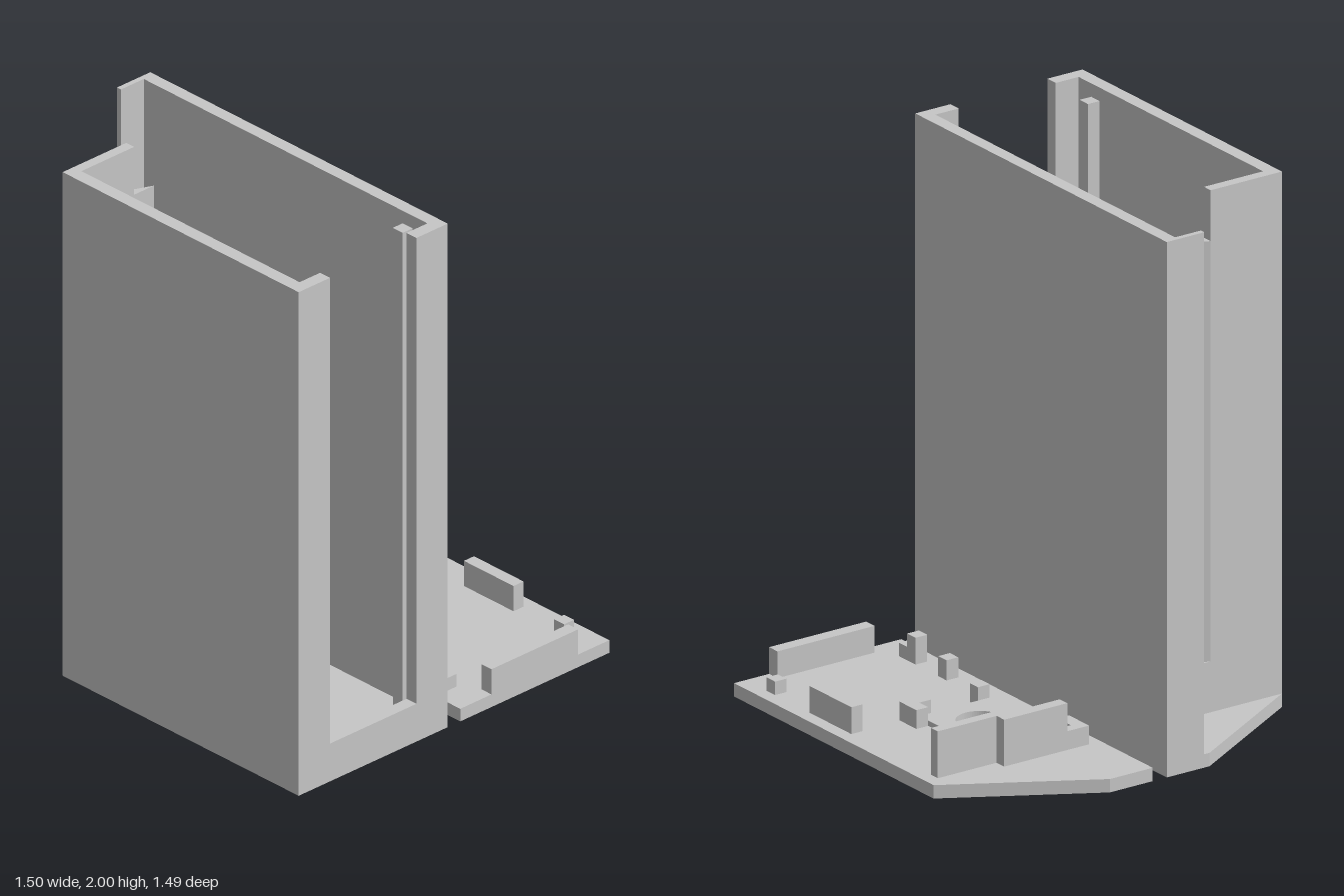
import * as THREE from 'three';

export function createModel() {
  const model = new THREE.Group();
  const grey = new THREE.MeshStandardMaterial({ color: 0xc6c6c6 });
  grey.name = 'light grey';

  // Upright prism from an outline of [x, z] points, between heights y0 and y1
  function prism(group, name, points, y0, y1, holes = []) {
    const shape = new THREE.Shape(points.map(([x, z]) => new THREE.Vector2(x, -z)));
    shape.holes.push(...holes);
    const geometry = new THREE.ExtrudeGeometry(shape, { depth: y1 - y0, bevelEnabled: false, curveSegments: 32 });
    geometry.rotateX(-Math.PI / 2).translate(0, y0, 0);
    const mesh = new THREE.Mesh(geometry, grey);
    mesh.name = name;
    group.add(mesh);
  }
  function block(group, name, x0, x1, z0, z1, y1, y0 = 0.05) {
    const mesh = new THREE.Mesh(new THREE.BoxGeometry(x1 - x0, y1 - y0, z1 - z0), grey);
    mesh.position.set((x0 + x1) / 2, (y0 + y1) / 2, (z0 + z1) / 2);
    mesh.name = name;
    group.add(mesh);
  }
  // Five-sided floor outline; side = 1 for the case, -1 for the lid
  const outline = (side) => [[-0.75, 0.03], [0.75, 0.03], [0.75, 0.745], [-0.44, 0.745], [-0.75, 0.213]]
    .map(([x, z]) => [x, z * side]);

  // Tall case
  const body = new THREE.Group();
  body.name = 'case';
  model.add(body);
  prism(body, 'caseFloor', outline(1), 0, 0.05);
  // Back wall with a lip at one end and a return at the other
  prism(body, 'backWall', [[-0.75, 0.03], [0.75, 0.03], [0.75, 0.18], [0.7, 0.18], [0.7, 0.08],
    [-0.73, 0.08], [-0.73, 0.19], [-0.75, 0.19]], 0.05, 2);
  // Front wall with both returns
  prism(body, 'frontWall', [[-0.44, 0.745], [-0.44, 0.44], [-0.4, 0.44], [-0.4, 0.693], [0.7, 0.693],
    [0.7, 0.595], [0.75, 0.595], [0.75, 0.745]], 0.05, 2);
  prism(body, 'slantedWallEdge', [[-0.44, 0.44], [-0.4, 0.44], [-0.4, 0.345]], 0.05, 1.81);
  block(body, 'slotSill', 0.7, 0.75, 0.18, 0.595, 0.15);
  block(body, 'lowWall', -0.44, -0.4, 0.165, 0.44, 0.24);
  // Stepped catch beside the low wall
  block(body, 'catchBack', -0.44, -0.315, 0.08, 0.123, 0.15);
  block(body, 'catchMiddle', -0.44, -0.315, 0.123, 0.165, 0.24);
  block(body, 'catchFront', -0.4, -0.315, 0.165, 0.21, 0.15);
  // Inner guide rails
  for (const z of [0.077, 0.643]) block(body, 'guideRail', 0.575, 0.625, z, z + 0.05, 1.95);

  // Separate lid lying behind the case
  const lid = new THREE.Group();
  lid.name = 'lid';
  model.add(lid);
  const cx = -0.0725;
  const roundHole = () => new THREE.Path().absarc(cx, 0.283, 0.085, 0, Math.PI * 2, true);
  prism(lid, 'lidPlate', outline(-1), 0, 0.05, [roundHole()]);
  // Raised square pad around the hole
  prism(lid, 'holePad', [[cx - 0.1525, -0.132], [cx + 0.1525, -0.132], [cx + 0.1525, -0.433],
    [cx - 0.1525, -0.433]], 0.05, 0.07, [roundHole()]);

  // Corner holders around the pad
  for (const s of [-1, 1]) {
    const at = (dx, z) => [cx + s * dx, z];
    prism(lid, 'cornerHolder', [at(0.2, -0.483), at(0.1, -0.483), at(0.1, -0.433),
      at(0.1525, -0.433), at(0.1525, -0.383), at(0.2, -0.383)], 0.05, 0.12);
    prism(lid, 'sideHolder', [at(0.1525, -0.183), at(0.2, -0.183), at(0.2, -0.132), at(0.1525, -0.132)], 0.05, 0.12);
  }
  // Lid walls and end tab
  block(lid, 'lidWall', -0.44, -0.395, -0.443, -0.173, 0.225);
  block(lid, 'lidInnerWall', -0.395, -0.355, -0.695, -0.4, 0.225);
  block(lid, 'lidWallStep', -0.44, -0.4, -0.173, -0.13, 0.12);
  block(lid, 'endTab', 0.7, 0.75, -0.595, -0.18, 0.15);
  block(lid, 'longTab', 0.12, 0.37, -0.695, -0.647, 0.15);
  // Small locating pegs
  block(lid, 'cornerClip', -0.44, -0.32, -0.13, -0.08, 0.12);
  block(lid, 'peg', 0.34, 0.39, -0.13, -0.08, 0.125);
  block(lid, 'peg', 0.525, 0.575, -0.13, -0.08, 0.15);
  block(lid, 'lowPeg', 0.575, 0.625, -0.13, -0.08, 0.1);
  block(lid, 'lowPeg', 0.575, 0.625, -0.695, -0.647, 0.1);

  return model;
}
